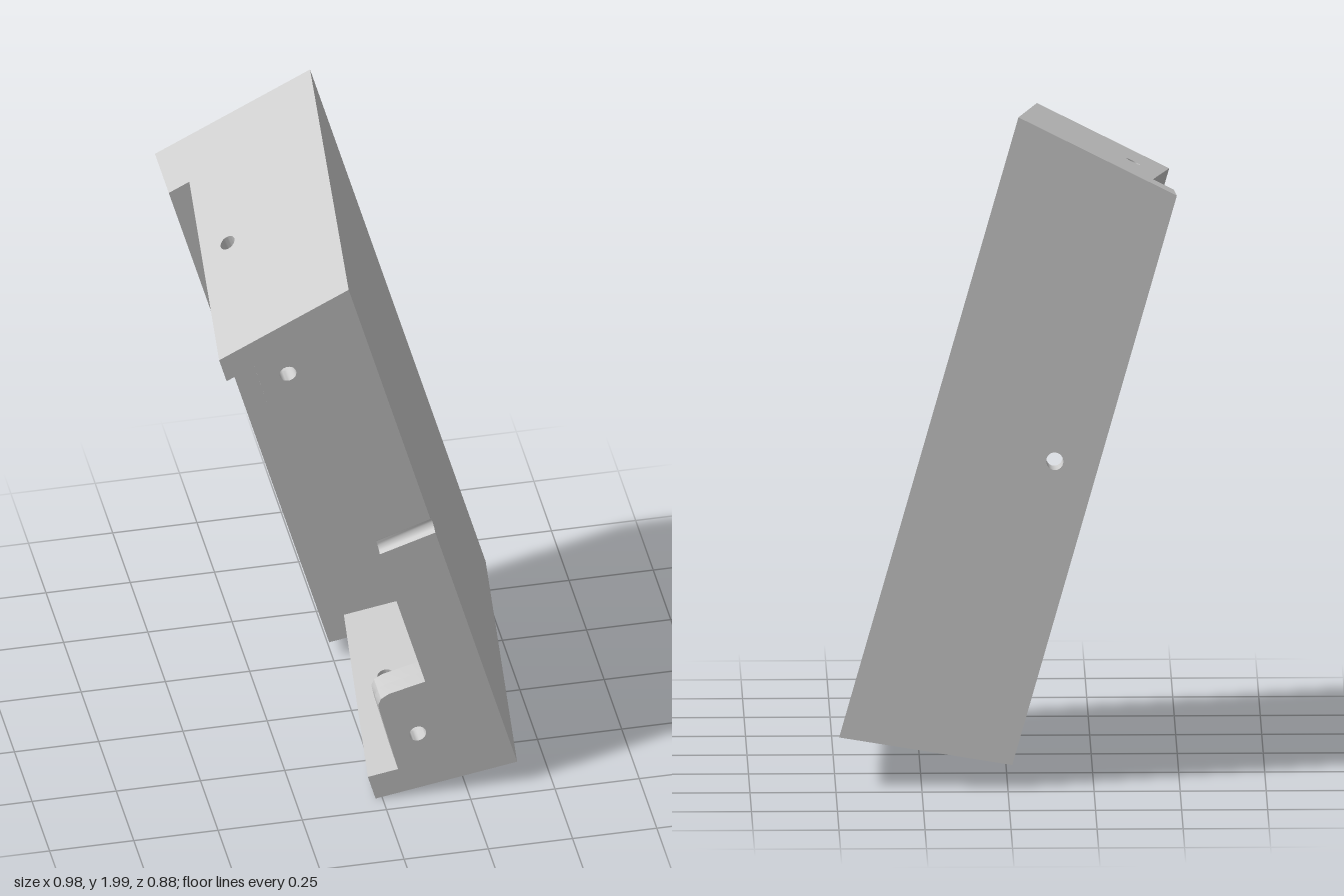
import * as THREE from 'three';
import { toCreasedNormals } from 'three/addons/utils/BufferGeometryUtils.js';

const TILT = 0.2825;
const FRONT = 0.44, STEP = -0.27, BACK = -0.44;

// side planes: x = c - TILT*y + m*z
const outer = { c: 0.4775, m: -0.128 };
const inner = { c: 0.2975, m: -0.128 };
const mouth = { c: 0.0404, m: -0.134 };
const rim = { c: 0.007, m: 0 };
// end planes: y = c + s*x + k*z
const top = { c: 1.9555, s: 0.51, k: -0.136 };
const underTop = { ...top, c: top.c - 0.09 };
const bottom = { c: 0.0408, s: 0.167, k: -0.074 };
const overBottom = { ...bottom, c: bottom.c + 0.085 };

// point where a side plane and an end plane meet at depth z
function meet(side, end, z) {
  const x = (side.c + side.m * z - TILT * (end.c + end.k * z)) / (1 + TILT * end.s);
  return new THREE.Vector3(x, end.c + end.s * x + end.k * z, z);
}

function finish(geometry, name) {
  geometry.deleteAttribute('normal');
  geometry.deleteAttribute('uv');
  const mesh = new THREE.Mesh(toCreasedNormals(geometry, 0.6),
    new THREE.MeshStandardMaterial({ color: 0xcccccc }));
  mesh.name = name;
  return mesh;
}

// unit-square shape extruded by 1, then warped into the block between six planes;
// order maps (shape x, shape y, depth) to (across, up, forward)
function block(name, shape, order, [left, right], [low, high], [z0, z1]) {
  const g = new THREE.ExtrudeGeometry(shape, { depth: 1, bevelEnabled: false, curveSegments: 10 });
  const p = g.attributes.position;
  for (let i = 0; i < p.count; i++) {
    const v = [p.getX(i), p.getY(i), p.getZ(i)];
    const [a, b, c] = order.map(k => v[k]);
    const z = z0 + (z1 - z0) * c;
    const lo = meet(left, low, z).lerp(meet(right, low, z), a);
    const hi = meet(left, high, z).lerp(meet(right, high, z), a);
    lo.lerp(hi, b);
    p.setXYZ(i, lo.x, lo.y, lo.z);
  }
  return finish(g, name);
}

const polygon = pts => new THREE.Shape(pts.map(q => new THREE.Vector2(...q)));
const square = () => polygon([[0, 0], [1, 0], [1, 1], [0, 1]]);

function drill(shape, x, y, rx, ry, sides = 24) {
  const pts = [];
  for (let i = 0; i < sides; i++) {
    const t = -i / sides * Math.PI * 2;
    pts.push(new THREE.Vector2(x + rx * Math.cos(t), y + ry * Math.sin(t)));
  }
  shape.holes.push(new THREE.Path(pts));
  return shape;
}

// mounting tab with a screw hole, counterbored from inside
function tab(name, pts, hx, hy) {
  const group = new THREE.Group();
  group.name = name;
  [[0.39, 0.05, 0.025], [0.34, 0.05, 0.042]].forEach(([z, depth, r], i) => {
    const g = new THREE.ExtrudeGeometry(drill(polygon(pts), hx, hy, r, r), { depth, bevelEnabled: false });
    g.translate(0, 0, z);
    group.add(finish(g, i ? 'tabCounterbore' : 'tabFace'));
  });
  return group;
}

export function createModel() {
  const model = new THREE.Group();
  model.name = 'tiltedHousing';
  const ends = [bottom, top];

  // back wall: round bolt hole with a hexagonal nut recess inside
  const bolt = drill(square(), 0.25, 0.51, 0.05, 0.0145);
  const nut = drill(square(), 0.25, 0.51, 0.08, 0.023, 6);
  model.add(block('backWall', bolt, [0, 1, 2], [rim, outer], ends, [BACK, -0.33]));
  model.add(block('nutRecess', nut, [0, 1, 2], [rim, outer], ends, [-0.33, STEP]));

  // large slanted wall with a half-round groove on its front edge
  const wall = [[0, 0], [1, 0], [1, 1]];
  for (let i = 0; i <= 12; i++) {
    const t = i / 12 * Math.PI;
    wall.push([0.5 + 0.0145 * Math.cos(t), 1 - 0.036 * Math.sin(t)]);
  }
  wall.push([0, 1]);
  model.add(block('slantedWall', polygon(wall), [2, 0, 1], [inner, outer], ends, [STEP, FRONT]));

  // end plates, each with a through hole
  const plate = a => drill(square(), 0.42, a, 0.032, 0.054);
  model.add(block('topPlate', plate(0.2), [1, 2, 0], [mouth, outer], [underTop, top], [STEP, FRONT]));
  model.add(block('bottomPlate', plate(0.22), [1, 2, 0], [mouth, outer], [bottom, overBottom], [STEP, FRONT]));

  // front tabs with a rounded free corner
  model.add(tab('upperTab', [[-0.385, 1.63], [-0.335, 1.45], [-0.325, 1.415], [-0.308, 1.398],
    [-0.28, 1.396], [-0.16, 1.424], [-0.09, 1.44], [-0.16, 1.76], [-0.3, 1.7]], -0.28, 1.57));
  model.add(tab('lowerTab', [[0.13, 0.404], [0.02, 0.375], [-0.004, 0.36], [-0.012, 0.34],
    [-0.006, 0.31], [0.052, 0.08], [0.26, 0.09], [0.2, 0.42]], 0.105, 0.22));
  return model;
}
